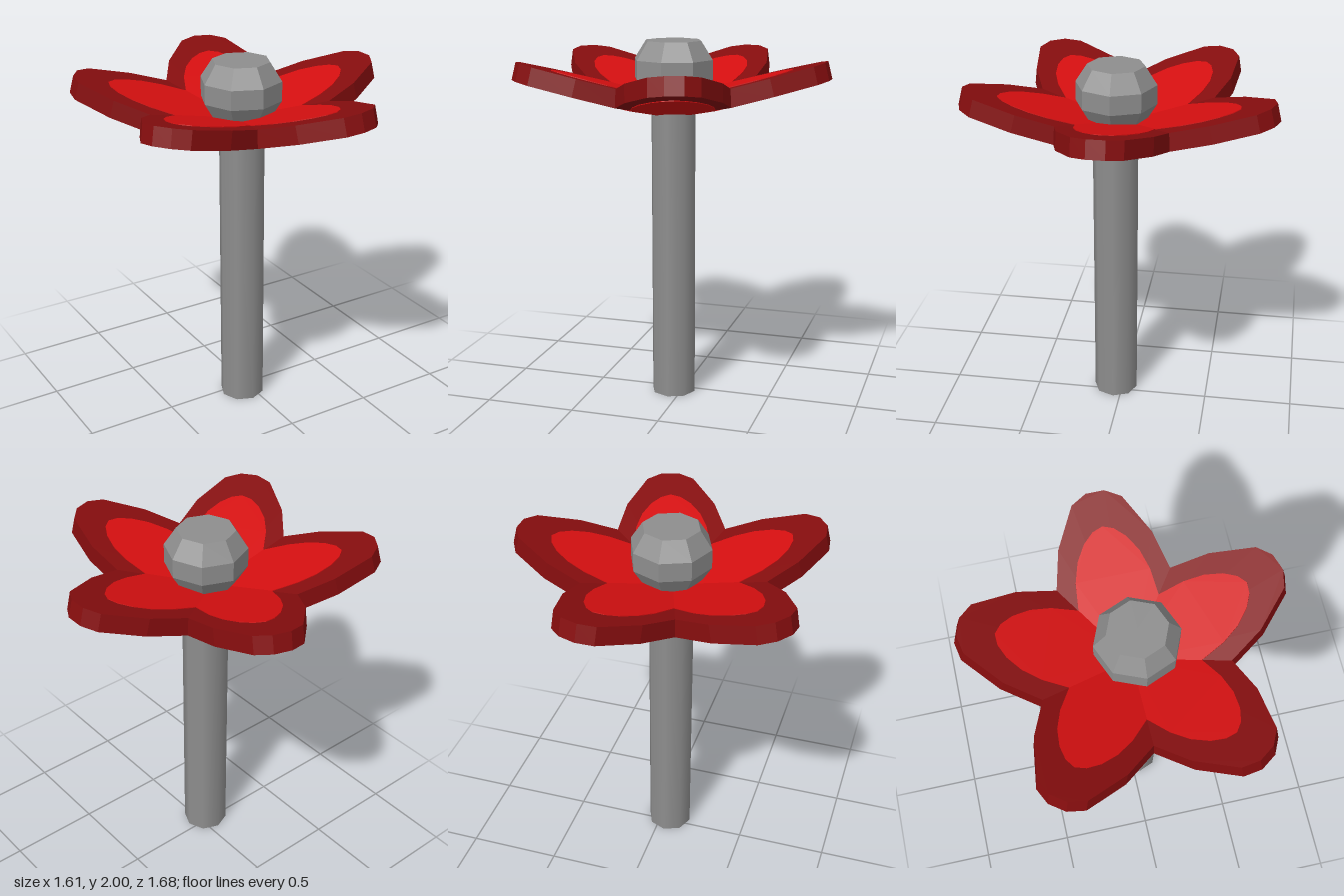
import * as THREE from 'three';

const grey = new THREE.MeshStandardMaterial({ color: 0x8e8e8e });
grey.name = 'grey';
const bulbGrey = grey.clone();
bulbGrey.name = 'facetedGrey';
bulbGrey.flatShading = true;
const darkRed = new THREE.MeshStandardMaterial({ color: 0x850d0e });
darkRed.name = 'darkRed';
const brightRed = new THREE.MeshStandardMaterial({ color: 0xd40f10 });
brightRed.name = 'brightRed';

// Half outlines of one petal, along its length (u) and half width (v)
const RIM = [[0.41, 0.298], [0.622, 0.243], [0.825, 0.13], [0.87, 0.048]];
const INNER = [[0.285, 0.207], [0.42, 0.192], [0.52, 0.16], [0.6, 0.11], [0.65, 0.055], [0.67, 0]];
const SLOPE = 0.27, RISE = 0.093, LEAN = 0.024, BASE = 1.577;

function mesh(name, geometry, material) {
  const m = new THREE.Mesh(geometry, material);
  m.name = name;
  return m;
}

// Closed wedge from the flower's middle, mirrored, then tilted upwards.
// t0 and t1 are levels in the petal: 0 is its underside, 1 its upper face.
function petalSlab(half, t0, t1, scale = 1, shift = 0) {
  const lower = half.map(([u, v]) => [u, -v]);
  const upper = half.filter(([, v]) => v > 0).reverse();
  const points = [[0, 0], ...lower, ...upper]
    .map(([u, v]) => new THREE.Vector2(u * scale, v * scale));
  const g = new THREE.ExtrudeGeometry(new THREE.Shape(points), { depth: t1 - t0, bevelEnabled: false });
  const p = g.attributes.position;
  for (let i = 0; i < p.count; i++) {
    const u = p.getX(i) + shift, v = p.getY(i), t = p.getZ(i) + t0;
    p.setXYZ(i, u - t * LEAN, BASE + u * SLOPE + t * RISE, -v);
  }
  g.computeVertexNormals();
  return g;
}

export function createModel() {
  const flower = new THREE.Group();
  flower.name = 'flower';

  // Eight-sided stem, smoothly shaded
  const stem = mesh('stem', new THREE.CylinderGeometry(0.125, 0.125, 1.66, 8), grey);
  stem.position.set(-0.05, 0.83, 0.04);
  flower.add(stem);

  // Faceted centre bulb
  const profile = [[0, 1.69], [0.155, 1.69], [0.22, 1.795], [0.22, 1.9], [0.155, 2], [0, 2]]
    .map(([r, y]) => new THREE.Vector2(r, y));
  const bulb = mesh('centreBulb', new THREE.LatheGeometry(profile, 8), bulbGrey);
  bulb.position.set(-0.05, 0, 0.035);
  flower.add(bulb);

  // Five tilted petals with bright inner faces above and below
  const rim = petalSlab(RIM, 0, 1);
  const top = petalSlab(INNER, 1, 1.04, 1, LEAN);
  const bottom = petalSlab(INNER, -0.04, 0, 1.08);
  for (let i = 0; i < 5; i++) {
    const petal = new THREE.Group();
    petal.name = 'petal' + (i + 1);
    petal.add(
      mesh('petalRim', rim, darkRed),
      mesh('petalInnerTop', top, brightRed),
      mesh('petalInnerUnderside', bottom, brightRed)
    );
    petal.position.x = -0.07;
    petal.rotation.y = (i * Math.PI * 2) / 5;
    flower.add(petal);
  }
  return flower;
}
